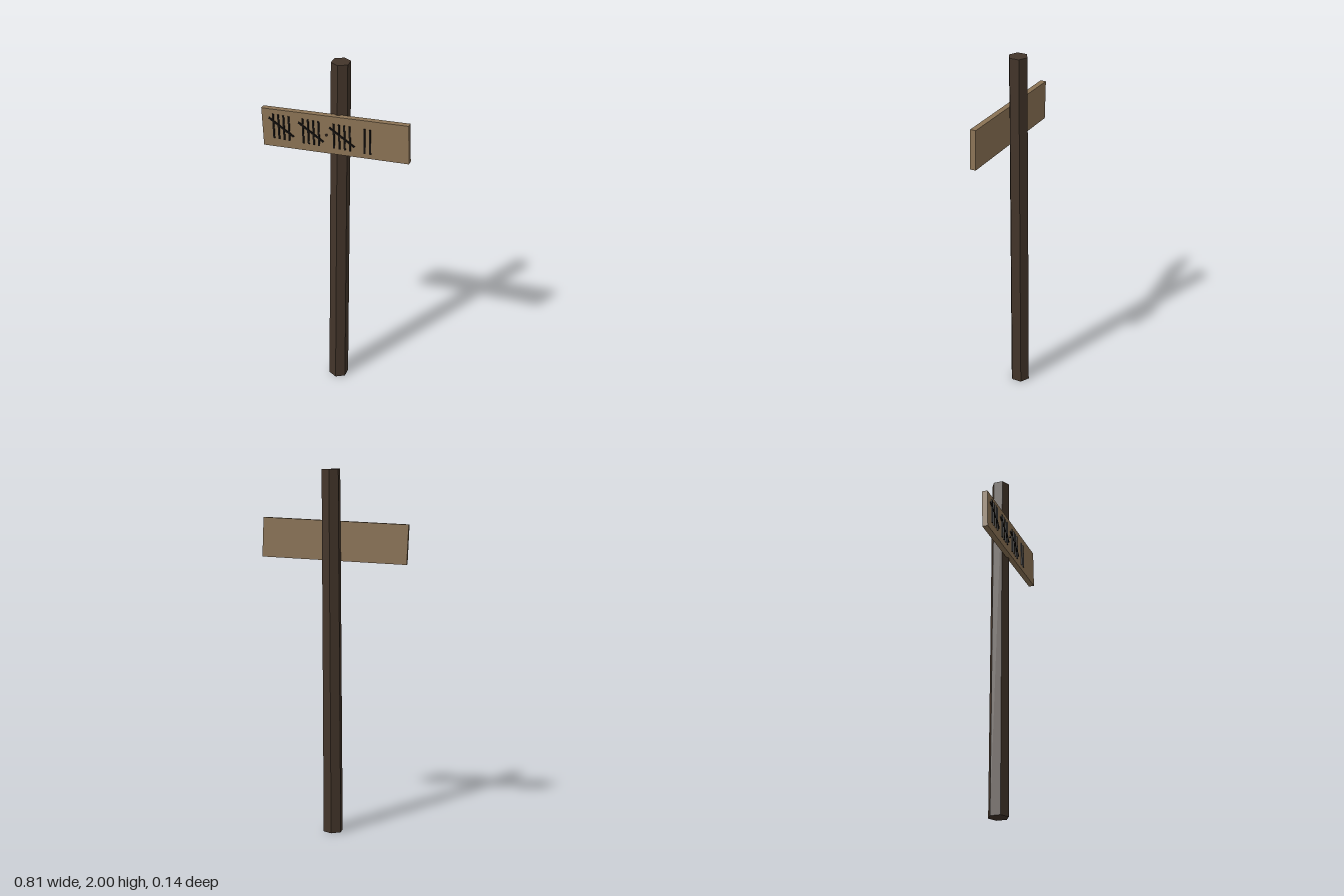
import * as THREE from 'three';

const material = (color) => new THREE.MeshStandardMaterial({ color, flatShading: true });

export function createModel() {
  const group = new THREE.Group();
  const postWood = material(0x43352a);
  const boardWood = material(0x8b7355);
  const ink = material(0x14110f);
  const iron = material(0x3a2c24);

  const add = (parent, name, geometry, mat, x, y, z, roll = 0) => {
    const mesh = new THREE.Mesh(geometry, mat);
    mesh.name = name;
    mesh.position.set(x, y, z);
    mesh.rotation.z = roll;
    parent.add(mesh);
    return mesh;
  };

  // Six-sided post, tapering and leaning slightly
  const post = add(group, 'post', new THREE.CylinderGeometry(0.052, 0.056, 2, 6), postWood, 0.004, 1, -0.012);
  post.rotation.set(0.0035, 0, -0.007);

  // Crooked board on the front of the post
  add(group, 'board', new THREE.BoxGeometry(0.8, 0.215, 0.031), boardWood, 0, 1.615, 0.0465, 0.04);

  // Tally marks: three crossed groups of four, then two single strokes
  const tally = new THREE.Group();
  tally.name = 'tallyMarks';
  group.add(tally);
  const strokeGeometry = new THREE.BoxGeometry(0.009, 0.14, 0.006);
  const slashGeometry = new THREE.BoxGeometry(0.009, 0.165, 0.006);
  const stroke = (x) => add(tally, 'tallyStroke', strokeGeometry, ink, x, 1.613, 0.0645, 0.03);
  for (const center of [-0.293, -0.128, 0.042]) {
    for (let i = 0; i < 4; i++) stroke(center + (i - 1.5) * 0.029);
    add(tally, 'tallySlash', slashGeometry, ink, center, 1.614, 0.065, 1.0);
  }
  stroke(0.165);
  stroke(0.195);

  // Nail heads fixing the board to the post
  for (const [x, y] of [[-0.042, 1.613], [0.038, 1.616]]) {
    const nail = add(group, 'nail', new THREE.CylinderGeometry(0.006, 0.006, 0.01, 6), iron, x, y, 0.065);
    nail.rotation.x = Math.PI / 2;
  }

  return group;
}
